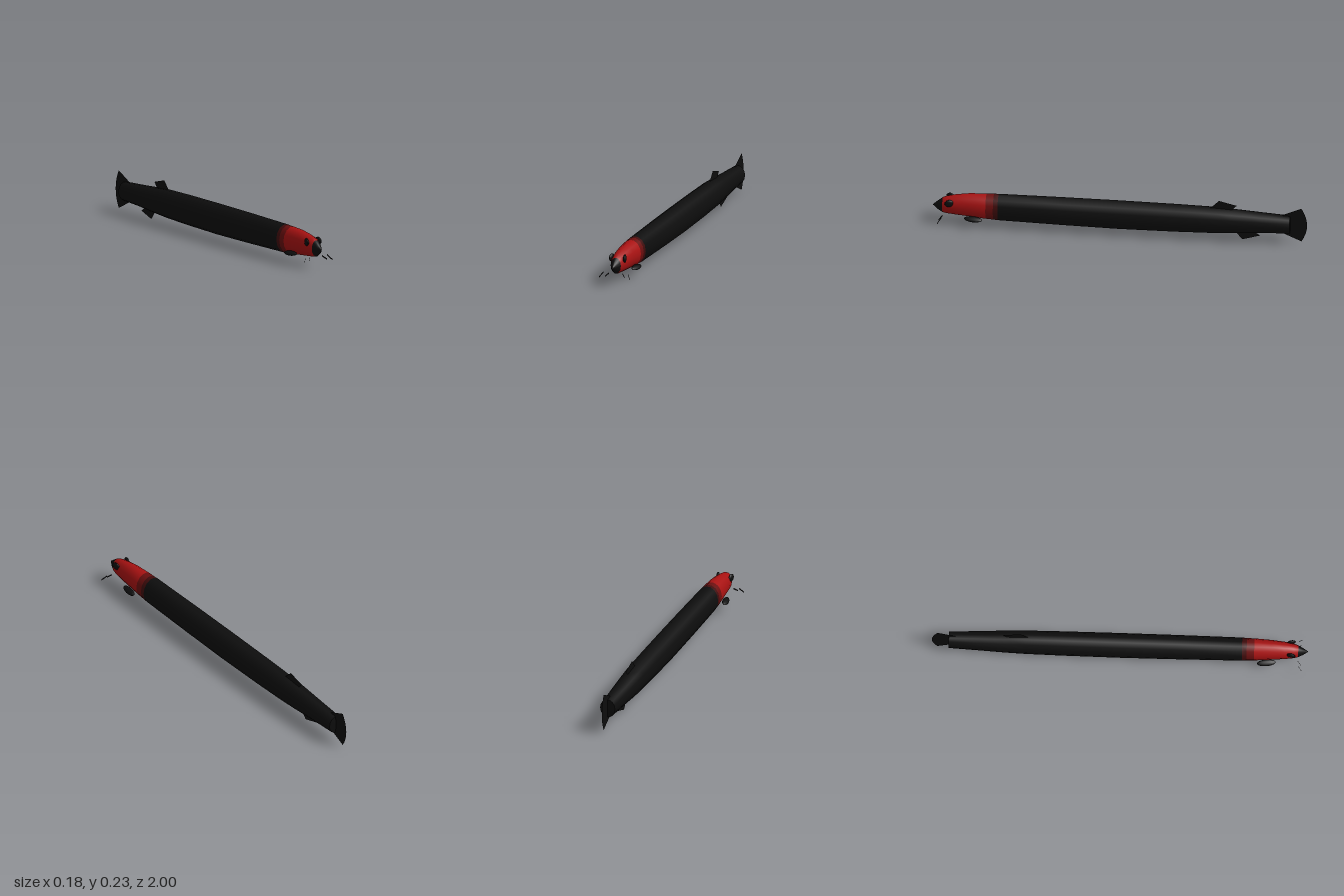
import * as THREE from 'three';

const mat = (name, color, extra = {}) => {
  const m = new THREE.MeshStandardMaterial({ color, ...extra });
  m.name = name;
  return m;
};

// Skin of elliptical rings [z, halfWidth, bottomY, topY, materialIndex], front to back
function loft(sections, sides) {
  const pos = [], index = [], geo = new THREE.BufferGeometry();
  sections.forEach(([z, w, y0, y1]) => {
    for (let j = 0; j < sides; j++) {
      const a = (j / sides) * Math.PI * 2;
      pos.push(w * Math.cos(a), (y0 + y1) / 2 + ((y1 - y0) / 2) * Math.sin(a), z);
    }
  });
  for (let i = 0; i < sections.length - 1; i++) {
    geo.addGroup(index.length, sides * 6, sections[i][4]);
    for (let j = 0; j < sides; j++) {
      const k = (j + 1) % sides;
      const a = i * sides + j, b = i * sides + k, c = a + sides, d = b + sides;
      index.push(a, c, b, b, c, d);
    }
  }
  geo.setAttribute('position', new THREE.Float32BufferAttribute(pos, 3));
  geo.setIndex(index);
  geo.computeVertexNormals();
  return geo;
}

export function createModel() {
  const group = new THREE.Group();
  const black = mat('black skin', 0x0d0d0d);
  const red = mat('red head', 0xa81212);
  const darkRed = mat('dark red band', 0x6a0e0e);
  const maroon = mat('maroon band', 0x400b0b);
  const finMat = mat('black fin', 0x0d0d0d, { side: THREE.DoubleSide });
  const add = (name, geo, material) => {
    const mesh = new THREE.Mesh(geo, material);
    mesh.name = name;
    group.add(mesh);
    return mesh;
  };

  // Body: snout, head, neck bands, trunk and blunt tail end
  const sections = [
    [0.995, 0.001, 0.103, 0.106, 0],
    [0.97, 0.016, 0.08, 0.128, 0],
    [0.943, 0.029, 0.062, 0.15, 1],
    [0.92, 0.036, 0.058, 0.16, 1],
    [0.87, 0.044, 0.054, 0.172, 1],
    [0.8, 0.05, 0.048, 0.182, 1],
    [0.71, 0.056, 0.04, 0.186, 2],
    [0.67, 0.057, 0.038, 0.187, 3],
    [0.645, 0.059, 0.036, 0.188, 0],
    [0.3, 0.062, 0.03, 0.191, 0],
    [0, 0.063, 0.027, 0.192, 0],
    [-0.3, 0.062, 0.031, 0.191, 0],
    [-0.5, 0.06, 0.037, 0.188, 0],
    [-0.6, 0.057, 0.043, 0.182, 0],
    [-0.75, 0.05, 0.054, 0.172, 0],
    [-0.91, 0.042, 0.061, 0.163, 0],
    [-0.91, 0.042, 0.061, 0.163, 0],
    [-0.912, 0.001, 0.111, 0.113, 0],
  ];
  add('body', loft(sections, 14), [black, red, darkRed, maroon]);

  // Upright fins on the centre line, drawn in (z, y)
  const fin = (name, shape) => add(name, new THREE.ShapeGeometry(shape, 8).rotateY(-Math.PI / 2), finMat);
  const outline = (pts) => new THREE.Shape(pts.map(([z, y]) => new THREE.Vector2(z, y)));
  fin('dorsalFin', outline([[-0.47, 0.18], [-0.49, 0.19], [-0.53, 0.232], [-0.625, 0.208], [-0.59, 0.17]]));
  fin('analFin', outline([[-0.6, 0.055], [-0.62, 0.045], [-0.655, 0.002], [-0.75, 0.032], [-0.7, 0.065]]));
  const tail = new THREE.Shape();
  tail.moveTo(-0.87, 0.168);
  tail.lineTo(-0.97, 0.214);
  tail.quadraticCurveTo(-1.03, 0.11, -0.97, 0.011);
  tail.lineTo(-0.87, 0.056);
  fin('tailFin', tail);

  for (const s of [1, -1]) {
    const side = s > 0 ? 'left' : 'right';

    // Eye
    const eye = add(side + 'Eye', new THREE.SphereGeometry(1, 16, 10), black);
    eye.scale.set(0.009, 0.021, 0.024);
    eye.position.set(s * 0.037, 0.138, 0.905);
    eye.rotation.y = s * 0.2;

    // Small flattened pectoral fin
    const pectoral = add(side + 'PectoralFin', new THREE.SphereGeometry(1, 14, 8), black);
    pectoral.scale.set(0.018, 0.008, 0.05);
    pectoral.position.set(s * 0.054, 0.059, 0.775);
    pectoral.rotation.set(0, -s * 0.12, -s * 0.5);

    // Two thin barbels, sloping down, outward and forward
    [[0.068, 0.07, 0.943, 0.02, 0.026], [0.038, 0.066, 0.94, 0.018, 0.016]].forEach(([x, y, z, run, drop], i) => {
      const h = 0.008;
      const geo = new THREE.BufferGeometry();
      geo.setAttribute('position', new THREE.Float32BufferAttribute([
        s * x, y, z, s * x, y - h, z,
        s * (x + run), y - drop, z + run, s * (x + run), y - drop - h, z + run,
      ], 3));
      geo.setIndex([0, 1, 2, 2, 1, 3]);
      geo.computeVertexNormals();
      add(side + (i ? 'InnerBarbel' : 'OuterBarbel'), geo, finMat);
    });
  }
  return group;
}
